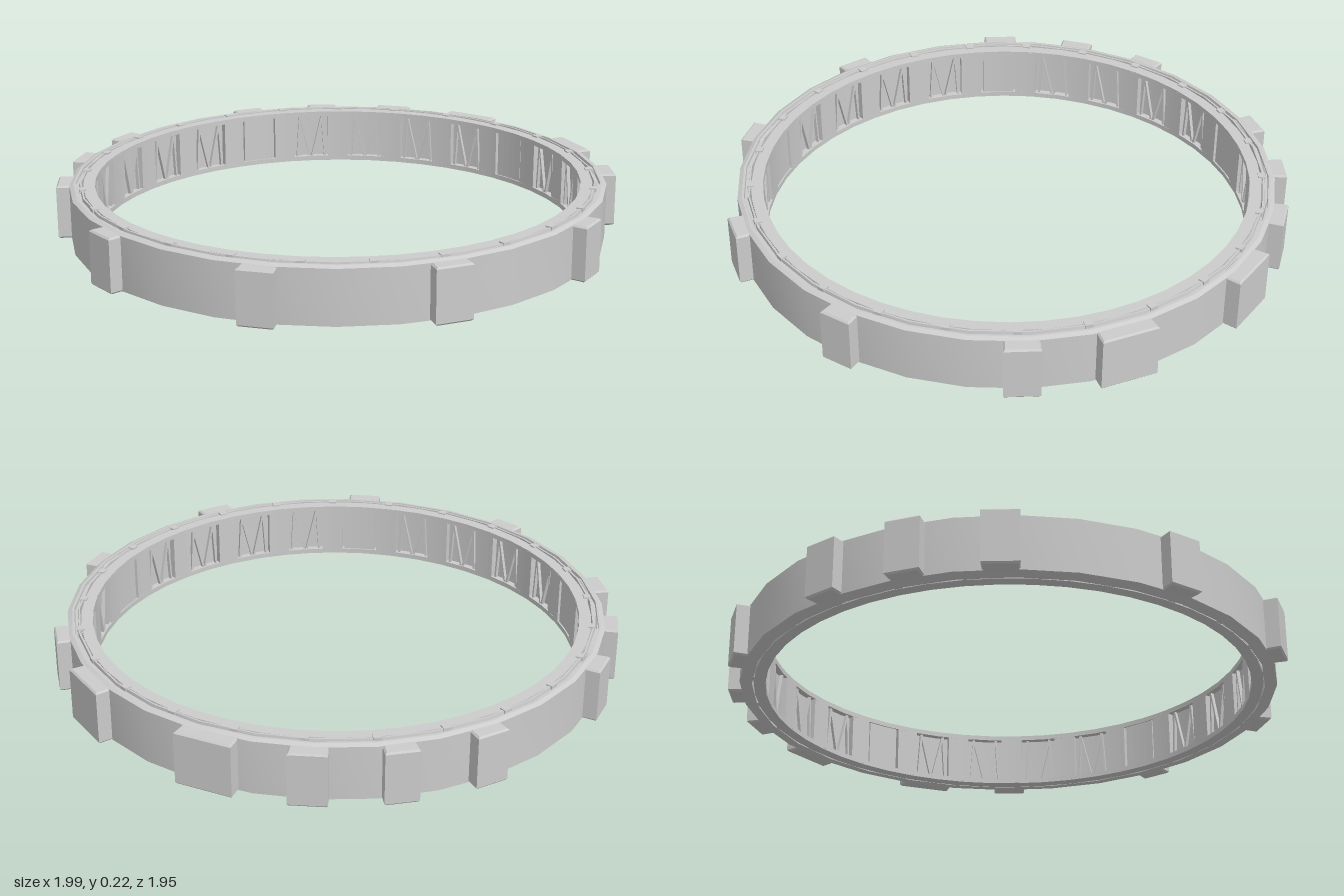
import * as THREE from 'three';
import { toCreasedNormals } from 'three/addons/utils/BufferGeometryUtils.js';

const material = new THREE.MeshStandardMaterial({ color: 0xcccccc });
const rad = THREE.MathUtils.degToRad;

function part(name, geometry, parent) {
  const mesh = new THREE.Mesh(geometry, material);
  mesh.name = name;
  parent.add(mesh);
  return mesh;
}

// Closed ring turned from a list of [radius, height] points, counter-clockwise
function ring(points, sides, start) {
  const profile = [...points, points[0]].map(([r, y]) => new THREE.Vector2(r, y));
  return toCreasedNormals(new THREE.LatheGeometry(profile, sides, start), 0.4);
}

// Upright block following the ring, centred on local +x
function sector(r0, r1, halfAngle, y0, y1) {
  const s = new THREE.Shape();
  s.absarc(0, 0, r1, -halfAngle, halfAngle, false);
  s.absarc(0, 0, r0, halfAngle, -halfAngle, true);
  const g = new THREE.ExtrudeGeometry(s, { depth: y1 - y0, bevelEnabled: false, curveSegments: 2 });
  return g.rotateX(Math.PI / 2).translate(0, y1, 0);
}

// Outer tooth: flared block with softened edges
function tooth(width) {
  const b = 0.006, w = width / 2 - b, x = 0.999 - b;
  const s = new THREE.Shape([[0.925, -w + 0.004], [x, -w], [x, w], [0.925, w - 0.004]]
    .map(([px, py]) => new THREE.Vector2(px, py)));
  const g = new THREE.ExtrudeGeometry(s, {
    depth: 0.194 - 2 * b, bevelSize: b, bevelThickness: b, bevelSegments: 1,
  });
  return g.rotateX(Math.PI / 2).translate(0, 0.207 - b, 0);
}

// Flat bar in the tangential plane, between two [z, y] points
function strut([z0, y0], [z1, y1], parent) {
  const dz = z1 - z0, dy = y1 - y0;
  const bar = part('strut', new THREE.BoxGeometry(0.012, Math.hypot(dz, dy), 0.008), parent);
  bar.position.set(0.875, (y0 + y1) / 2, (z0 + z1) / 2);
  bar.rotation.x = Math.atan2(dz, dy);
}

function at(angle, name, parent) {
  const g = new THREE.Group();
  g.name = name;
  g.rotation.y = -rad(angle);
  parent.add(g);
  return g;
}

export function createModel() {
  const model = new THREE.Group();
  model.name = 'toothedRing';
  const body = new THREE.Group();
  body.name = 'ringBody';
  body.position.set(0.003, 0, -0.002);
  body.rotation.x = -0.005;
  model.add(body);

  // Outer wall with stepped rims
  part('outerWall', ring([
    [0.912, 0.008], [0.938, 0.008], [0.955, 0.014], [0.955, 0.206], [0.94, 0.213],
    [0.932, 0.213], [0.93, 0.203], [0.92, 0.203], [0.918, 0.214], [0.912, 0.214],
  ], 30, rad(6)), body);

  // Teeth: [angle, width]
  const teeth = [
    [-105.4, 0.118], [-70, 0.118], [-52.1, 0.115], [-34.9, 0.13], [-15.1, 0.204],
    [17.1, 0.2], [37.5, 0.122], [73.7, 0.115], [110.3, 0.13], [146.7, 0.123],
    [182.9, 0.122], [218.8, 0.125], [236.9, 0.12],
  ];
  for (const [angle, width] of teeth) part('tooth', tooth(width), at(angle, 'toothMount', body));

  // Inner ring: back wall plus top and bottom rims
  part('innerWall', ring([[0.888, 0.012], [0.906, 0.012], [0.906, 0.208], [0.888, 0.208]], 50, 0), body);
  for (const [name, y0, y1] of [['lowerRim', 0.008, 0.026], ['upperRim', 0.194, 0.212]]) {
    part(name, ring([[0.864, y0], [0.905, y0], [0.905, y1], [0.864, y1]], 50, 0), body);
  }

  // Slots around the inside: every fifth is plain, the others hold a truss
  const count = 25, step = 360 / count;
  for (let i = 0; i < count; i++) {
    const angle = 2.2 + i * step;
    const slot = at(angle, 'slot', body);
    if (i % 5 === 0) {
      part('plainPanel', sector(0.868, 0.895, rad(4), 0.02, 0.2), slot);
    } else {
      for (const s of [-1, 1]) {
        strut([s * 0.056, 0.024], [s * 0.045, 0.196], slot);
        strut([s * 0.045, 0.196], [s * 0.004, 0.024], slot);
      }
    }
    // Post between slots, with pegs bridging to the outer wall
    const post = at(angle + step / 2, 'postMount', body);
    part('post', sector(0.863, 0.895, rad(2.7), 0.012, 0.208), post);
    part('upperPeg', sector(0.895, 0.92, rad(0.9), 0.19, 0.217), post);
    part('lowerPeg', sector(0.895, 0.92, rad(0.9), 0.009, 0.03), post);
  }
  return model;
}
